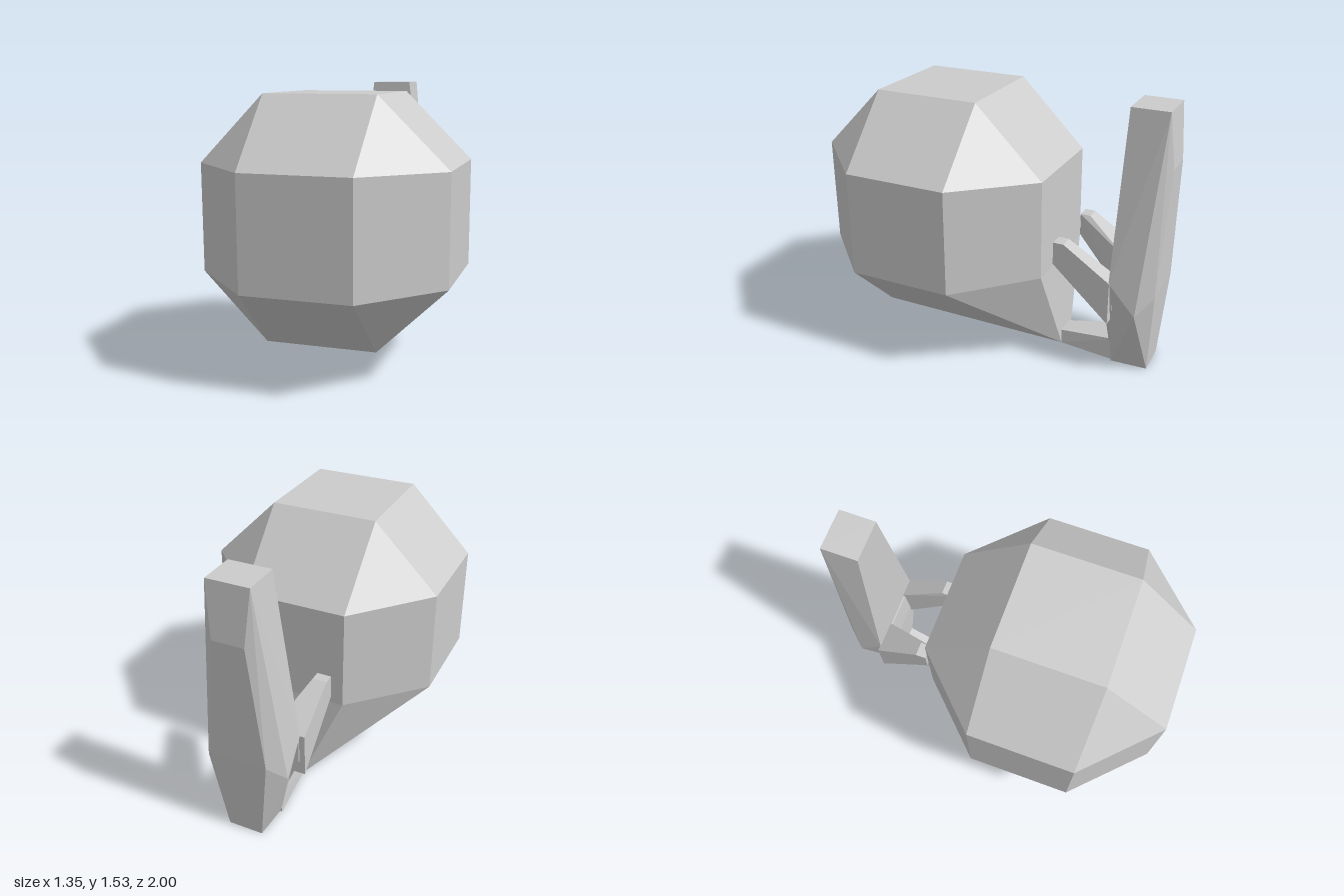
import * as THREE from 'three';
import { ConvexGeometry } from 'three/addons/geometries/ConvexGeometry.js';

const material = new THREE.MeshStandardMaterial({ color: 0xcccccc, flatShading: true });

// Mirrors [halfWidth, y, z] rows across x = 0
const mirrored = rows => rows.flatMap(([x, y, z]) => [[x, y, z], [-x, y, z]]);

// Faceted solid wrapped around a few corner points
function solid(name, points) {
  const geometry = new ConvexGeometry(points.map(p => new THREE.Vector3(...p)));
  const mesh = new THREE.Mesh(geometry, material);
  mesh.name = name;
  return mesh;
}

export function createModel() {
  const group = new THREE.Group();
  group.name = 'bulbWithHandle';

  // Bulb: a chamfered cube whose underside is drawn back into a narrow foot
  const sunkZ = -0.362, hullZ = -0.39;
  const bulb = solid('bulb', mirrored([
    [0.305, 1.495, 0.635], [0.305, 1.495, 0.03],
    [0.305, 0.17, 0.635],
    [0.295, 1.13, 1], [0.295, 0.525, 1],
    [0.3, 1.11, -0.357], [0.3, 0.54, hullZ],
    [0.677, 1.125, 0.62], [0.677, 1.125, 0.028],
    [0.677, 0.53, 0.62], [0.677, 0.53, 0.028],
    [0.06, 0, -0.22], [0.07, 0, -0.408],
  ]));
  // The lower back corners sit slightly inside the wrapped surface
  const position = bulb.geometry.attributes.position;
  for (let i = 0; i < position.count; i++) {
    if (Math.abs(position.getZ(i) - hullZ) < 0.001) position.setZ(i, sunkZ);
  }
  bulb.geometry.computeVertexNormals();
  group.add(bulb);

  // Tall tapered slab behind the bulb
  const slab = solid('slab', mirrored([
    [0.12, 1.53, -0.76], [0.12, 1.53, -0.97],
    [0.09, 1.22, -1],
    [0.235, 0.57, -0.735], [0.24, 0.4, -0.89],
    [0.16, 0.5, -0.975],
    [0.11, 0, -0.735], [0.1, 0, -0.945],
  ]));
  slab.position.x = 0.012;
  group.add(slab);

  // Thin plate on the front of the slab
  group.add(solid('frontPlate', mirrored([
    [0.1, 0.12, -0.71], [0.1, 0.12, -0.75],
    [0.22, 0.4, -0.71], [0.22, 0.4, -0.75],
    [0.22, 0.56, -0.725], [0.22, 0.56, -0.75],
  ])));

  // Stem joining the bulb's foot to the slab
  group.add(solid('stem', mirrored([
    [0.07, 0, -0.4], [0.06, 0.08, -0.4],
    [0.11, 0, -0.75], [0.1, 0.135, -0.75],
  ])));

  // Prongs reaching up and forward from the slab; the right one has a wider root
  for (const [side, name, root] of [[1, 'leftProng', 0.14], [-1, 'rightProng', 0.06]]) {
    const profile = [
      [0.17, 0.62, -0.41], [0.17, 0.75, -0.41], [0.17, 0.75, -0.47],
      [root, 0.57, -0.74], [root, 0.32, -0.74], [root + 0.02, 0.43, -0.65],
    ];
    group.add(solid(name, profile.flatMap(([x, y, z]) => [
      [side * x, y, z], [side * 0.252, y, z],
    ])));
  }

  return group;
}
